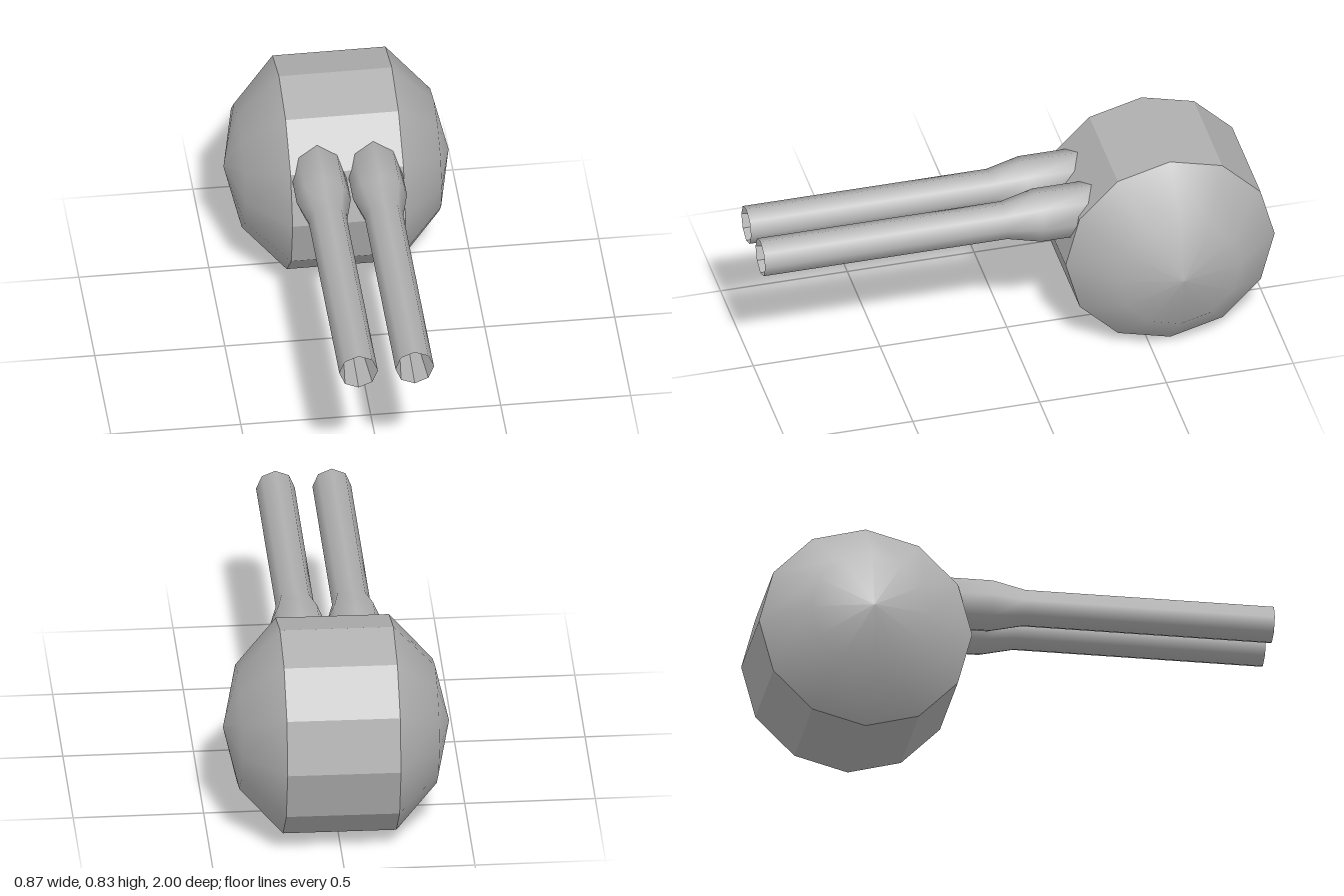
import * as THREE from 'three';

const steel = new THREE.MeshStandardMaterial({ color: 0xb0b0b0 });
steel.name = 'grey steel';

// Revolve [radius, height] pairs; flat gives every face its own normal
function revolve(name, profile, sides, flat) {
  let geometry = new THREE.LatheGeometry(profile.map(([r, h]) => new THREE.Vector2(r, h)), sides);
  if (flat) {
    geometry = geometry.toNonIndexed();
    geometry.computeVertexNormals();
  }
  const mesh = new THREE.Mesh(geometry, steel);
  mesh.name = name;
  return mesh;
}

export function createModel() {
  const model = new THREE.Group();
  model.name = 'twinGunTurret';

  // Twelve-sided turret lying along x: flat-faced band with a smooth dome at each end
  const R = 0.412, half = 0.217;
  const turret = new THREE.Group();
  turret.name = 'turret';
  turret.add(
    revolve('band', [[R, -half], [R, half]], 12, true),
    revolve('leftDome', [[R, half], [0.238, 0.378], [0, 0.433]], 12, false),
    revolve('rightDome', [[0, -0.433], [0.238, -0.378], [R, -half]], 12, false),
  );
  turret.rotation.z = -Math.PI / 2 + 0.006;
  turret.position.set(0, 0.417, -0.588);
  model.add(turret);

  // Two octagonal barrels along z, each with a thick breech and a tapered bore
  for (const side of [1, -1]) {
    const barrel = new THREE.Group();
    barrel.name = side > 0 ? 'leftBarrel' : 'rightBarrel';
    barrel.add(
      revolve('barrelTube', [[0, -0.4], [0.104, -0.4], [0.104, -0.09], [0.074, 0.04], [0.074, 1]], 8, false),
      revolve('bore', [[0.074, 1], [0.037, 0.7], [0, 0.7]], 8, true),
    );
    barrel.rotation.x = Math.PI / 2;
    barrel.position.set(side * 0.108, 0.594, 0);
    model.add(barrel);
  }
  return model;
}
